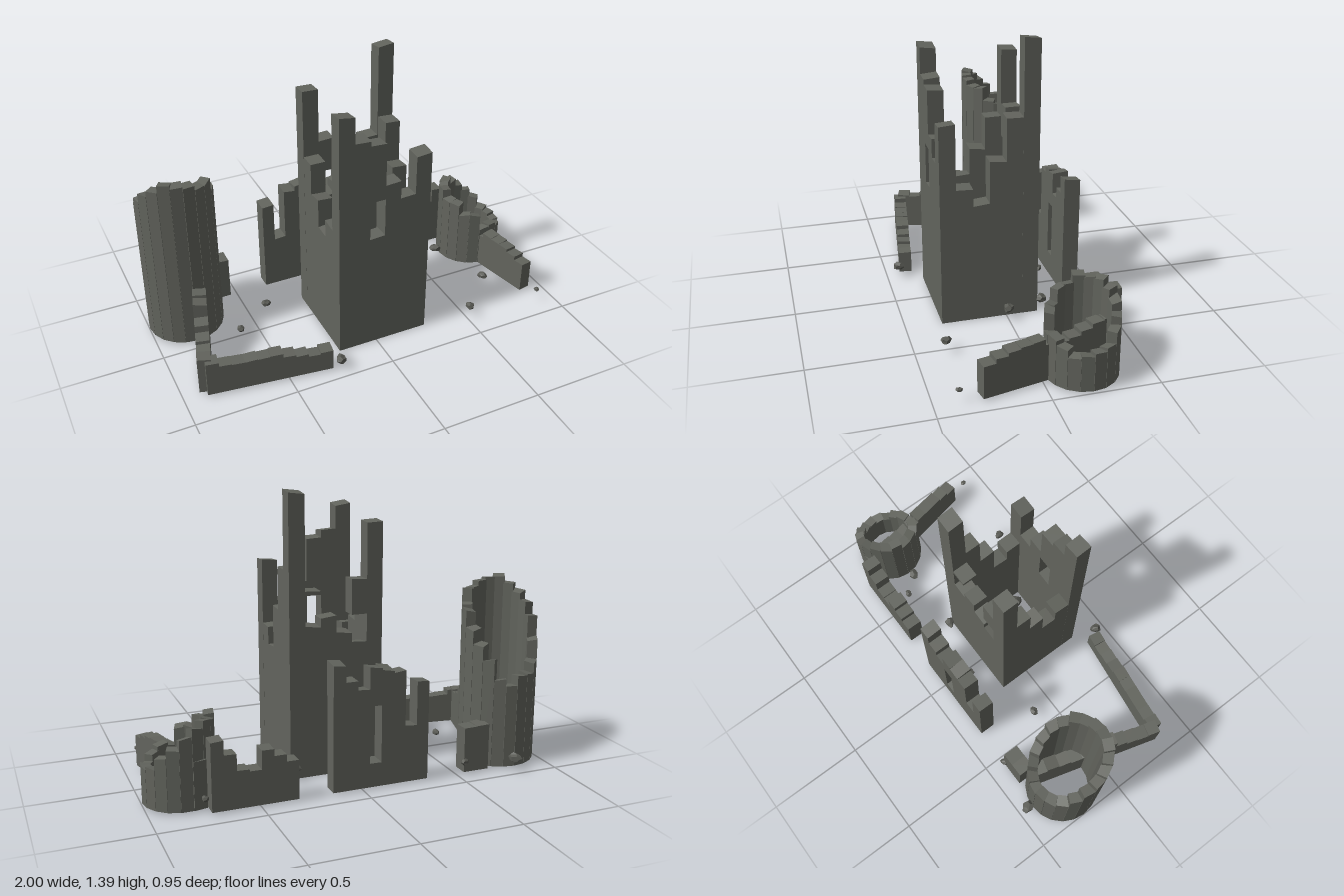
import * as THREE from 'three';

// Small seeded generator for weathering
let seed = 7;
const rnd = () => {
  seed = (seed * 16807) % 2147483647;
  return seed / 2147483647;
};

export function createModel() {
  seed = 7;
  const model = new THREE.Group();
  const stone = new THREE.MeshStandardMaterial({ color: 0x62645d, flatShading: true });
  stone.name = 'weathered stone';
  const rubble = new THREE.MeshStandardMaterial({ color: 0x5a5b55, flatShading: true });
  rubble.name = 'rubble stone';

  // Stone pier from y0 to y1 whose top is tilted by a broken edge
  function pier(parent, name, x, z, w, d, y0, y1, angle = 0, slant = 0.012) {
    const geo = new THREE.BoxGeometry(w, y1 - y0, d);
    const p = geo.attributes.position;
    const sx = (rnd() - 0.5) * slant * 2, sz = (rnd() - 0.5) * slant * 2;
    for (let i = 0; i < p.count; i++) {
      if (p.getY(i) > 0) p.setY(i, p.getY(i) + Math.sign(p.getX(i)) * sx * 0.5 + Math.sign(p.getZ(i)) * sz * 0.5);
    }
    geo.computeVertexNormals();
    const mesh = new THREE.Mesh(geo, stone);
    mesh.name = name;
    mesh.position.set(x, (y0 + y1) / 2, z);
    mesh.rotation.y = angle;
    parent.add(mesh);
  }

  // Row of piers; a cell is a height, or a list of [bottom, top] spans around an opening
  function wall(name, [ax, az], [bx, bz], thick, cells, base = 0.02) {
    const g = new THREE.Group();
    g.name = name;
    const n = cells.length;
    const len = Math.hypot(bx - ax, bz - az);
    const angle = -Math.atan2(bz - az, bx - ax);
    cells.forEach((cell, i) => {
      const t = (i + 0.5) / n;
      const spans = Array.isArray(cell) ? cell : [[base, cell]];
      for (const [y0, y1] of spans) {
        pier(g, name + 'Pier', ax + (bx - ax) * t, az + (bz - az) * t, len / n + 0.001, thick, y0, y1, angle, y1 < 0.3 ? 0.004 : 0.012);
      }
    });
    model.add(g);
  }

  // Ring of wedge-like piers with a height rule over the angle
  function tower(name, cx, cz, r0, r1, n, height) {
    const g = new THREE.Group();
    g.name = name;
    const rm = (r0 + r1) / 2;
    for (let i = 0; i < n; i++) {
      const a = ((i + 0.5) / n) * Math.PI * 2;
      const c = Math.cos(a), s = Math.sin(a);
      const h = height(c, s) + (rnd() - 0.5) * 0.05;
      pier(g, name + 'Pier', cx + c * rm, cz + s * rm, 2 * r1 * Math.tan(Math.PI / n) * 0.97, r1 - r0,
        0.02, h, Math.PI / 2 - a);
    }
    model.add(g);
  }

  // Central keep: front and back rows hold the corners, sides fill between
  const b = 0.01;
  wall('keepFront', [-0.2, 0.282], [0.272, 0.282], 0.078,
    [1.28, 1.15, [[b, 0.625], [0.825, 1.115]], 0.9, 0.81, 1.015], b);
  wall('keepBack', [-0.2, -0.118], [0.272, -0.118], 0.078,
    [1.24, [[b, 0.66], [0.8, 0.97]], 0.72, 0.8, [[b, 0.76], [0.91, 0.93]], 1.392], b);
  wall('keepRight', [0.234, 0.243], [0.234, -0.079], 0.076, [0.7, 0.615, 0.823, 1.03], b);
  wall('keepLeft', [-0.162, 0.243], [-0.162, -0.079], 0.076, [0.68, 0.6, 0.74, 0.9], b);

  // Round corner towers
  tower('leftTower', -0.81, -0.235, 0.138, 0.188, 20,
    (c, s) => 0.78 + (s > 0 ? 0.13 : 0.33) * s - 0.01 * c);
  tower('rightTower', 0.828, -0.187, 0.122, 0.168, 18,
    (c, s) => 0.3 - 0.11 * c - 0.04 * s);

  // Broken curtain walls
  wall('backCurtain', [-0.335, -0.366], [0.15, -0.366], 0.08,
    [0.51, 0.3, 0.57, 0.59, [[0.02, 0.14], [0.42, 0.6]], 0.5, 0.55, 0.635]);
  wall('backRightCurtain', [0.32, -0.366], [0.73, -0.366], 0.08,
    [0.21, 0.245, 0.28, 0.19, 0.2, 0.28, 0.35]);
  wall('backLeftCurtain', [-0.67, -0.366], [-0.537, -0.366], 0.08, [0.25, 0.245]);
  wall('leftCurtain', [-0.695, -0.34], [-0.888, 0.325], 0.066,
    [0.3, 0.32, 0.3, 0.28, 0.3, 0.34, 0.33, 0.26, 0.22, 0.2, 0.21]);
  wall('frontCurtain', [-0.885, 0.32], [-0.282, 0.4], 0.064,
    [0.2, 0.175, 0.17, 0.17, 0.168, 0.172, 0.15, 0.135, 0.12, 0.13]);
  wall('rightCurtain', [0.765, -0.35], [0.9, 0.29], 0.064,
    [0.25, 0.24, 0.22, 0.2, 0.19, 0.2, 0.225, 0.22, 0.215, 0.2, 0.18]);

  // Fallen stones: x, z, radius
  function boulder(name, x, y, z, r) {
    const geo = new THREE.DodecahedronGeometry(r, 0);
    const p = geo.attributes.position;
    const k = rnd() * 6;
    for (let i = 0; i < p.count; i++) {
      const f = 0.95 + 0.2 * Math.sin(p.getX(i) / r * 3 + k) * Math.cos(p.getZ(i) / r * 2 + k);
      p.setXYZ(i, p.getX(i) * f * 1.1, p.getY(i) * f * 0.75, p.getZ(i) * f * 0.9);
    }
    geo.computeVertexNormals();
    const mesh = new THREE.Mesh(geo, rubble);
    mesh.name = name;
    mesh.position.set(x, y, z);
    mesh.rotation.y = rnd() * 6.28;
    model.add(mesh);
  }
  const scattered = [
    [-0.8, -0.45, 0.035], [-0.54, -0.405, 0.024], [-0.04, -0.26, 0.022], [-0.415, -0.115, 0.024],
    [-0.605, 0.02, 0.022], [-0.25, 0.44, 0.03], [0.26, -0.18, 0.03], [0.315, 0.003, 0.029],
    [0.54, -0.265, 0.02], [0.615, -0.175, 0.029], [0.71, -0.2, 0.022], [0.718, 0.157, 0.025],
    [0.52, 0.355, 0.026], [0.91, 0.385, 0.015], [0.75, -0.36, 0.02],
  ];
  for (const [x, z, r] of scattered) boulder('fallenStone', x, 0.073, z, r);
  const inside = [
    [-0.05, -0.04, 0.045], [-0.05, 0.075, 0.048], [0.09, 0.045, 0.05], [0.14, 0.01, 0.045],
    [0.15, 0.055, 0.04], [0.05, 0.145, 0.05], [0.11, 0.15, 0.038], [0.15, 0.18, 0.042],
  ];
  for (const [x, z, r] of inside) boulder('keepRubble', x, 0.06, z, r);

  return model;
}
